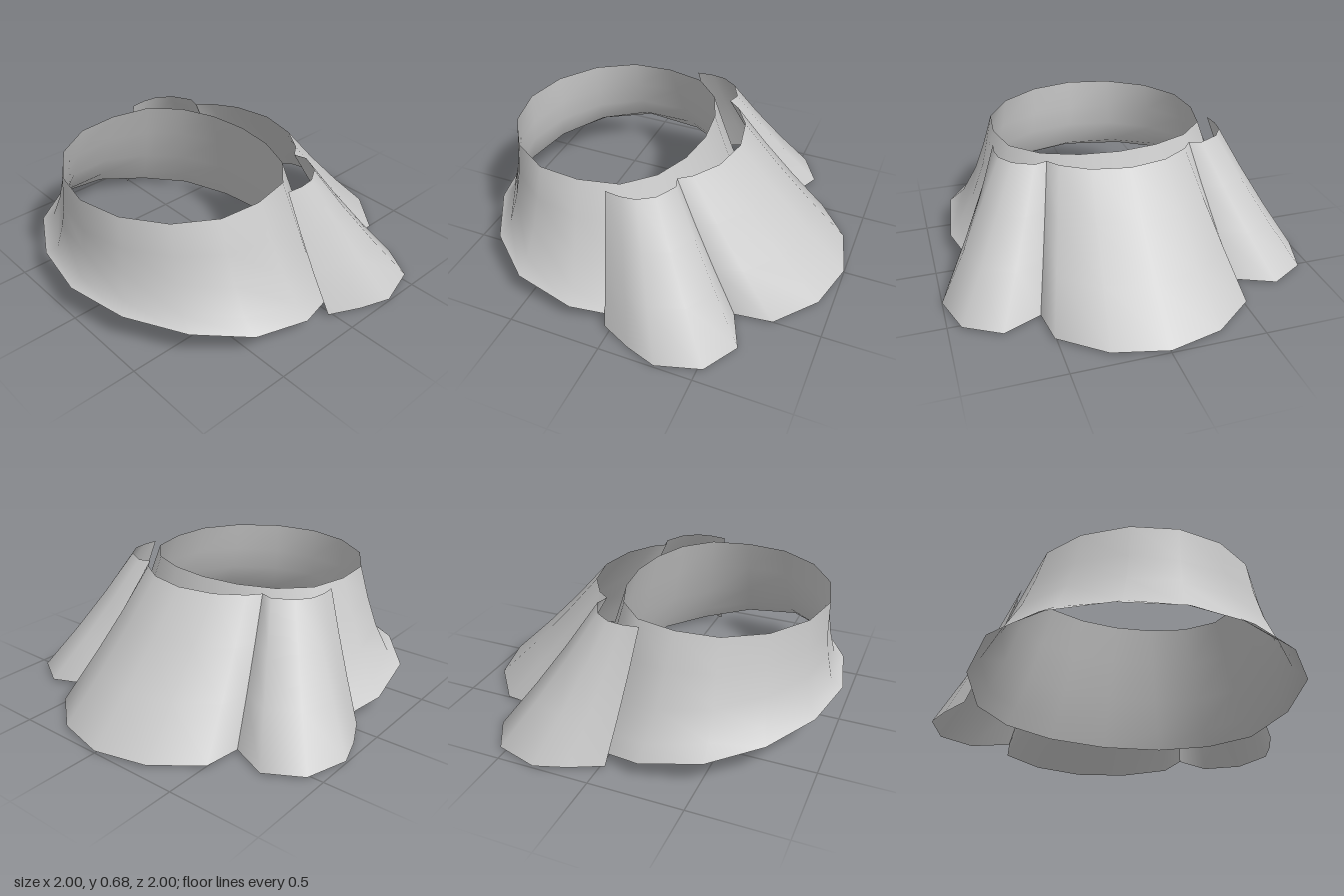
import * as THREE from 'three';

const material = new THREE.MeshStandardMaterial({ color: 0xcccccc, side: THREE.DoubleSide });

// Skin between stacked rows of [x, y, z] points, each running counter-clockwise seen from above
function loft(name, rows, closed) {
  const n = rows[0].length;
  const index = [];
  for (let r = 0; r < rows.length - 1; r++) {
    for (let i = 0; i < (closed ? n : n - 1); i++) {
      const j = (i + 1) % n;
      const a = r * n + i, b = r * n + j, c = a + n, d = b + n;
      index.push(a, c, d, a, d, b);
    }
  }
  const geometry = new THREE.BufferGeometry();
  geometry.setAttribute('position', new THREE.Float32BufferAttribute(rows.flat(2), 3));
  geometry.setIndex(index);
  geometry.computeVertexNormals();
  const mesh = new THREE.Mesh(geometry, material);
  mesh.name = name;
  return mesh;
}

const TOP = 0.68;
const HEM = 0.012;
const lerp = THREE.MathUtils.lerp;

// Half outline (front to back) completed by mirroring in x
const fullRing = (half) => [...half, ...half.slice(1, -1).reverse().map(([x, ...rest]) => [-x, ...rest])];
const mirrored = (points) => points.map(([x, z]) => [-x, z]).reverse();

// Flared collar: level rim, slanted hem; the flare is sharp in front, straight at the back
function collar() {
  const rim = fullRing([[0, 0.89], [0.235, 0.84], [0.44, 0.70], [0.565, 0.50], [0.585, 0.28],
    [0.54, 0.07], [0.40, -0.07], [0.21, -0.145], [0, -0.17]]);
  const hem = fullRing([[0, 0.2, 1], [0.34, 0.195, 0.935], [0.64, 0.185, 0.77], [0.84, 0.155, 0.53],
    [0.885, 0.097, 0.215], [0.79, 0.035, -0.06], [0.60, 0.017, -0.25], [0.33, 0.004, -0.36], [0, 0, -0.4]]);
  // Pairs of [drop, spread] down the wall
  const front = [[0, 0], [0.37, 0.02], [0.62, 0.14], [0.92, 0.42], [1, 1]];
  const side = [[0, 0], [0.31, 0.25], [0.62, 0.5], [0.87, 0.8], [1, 1]];
  const back = [[0, 0], [0.3, 0.27], [0.6, 0.55], [0.85, 0.82], [1, 1]];
  const rows = front.map((_, r) => rim.map(([x, z], i) => {
    const [hx, hy, hz] = hem[i];
    const s = Math.min(i, 16 - i) / 4;
    const [from, to, k] = s < 1 ? [front, side, s] : [side, back, s - 1];
    const drop = lerp(from[r][0], to[r][0], k);
    const spread = lerp(from[r][1], to[r][1], k);
    return [lerp(x, hx, spread), lerp(TOP, hy, drop), lerp(z, hz, spread)];
  }));
  return loft('collar', rows, true);
}

// Curved flap sloping outwards from a level top edge to a level hem, slightly hollow
function flap(name, top, bottom) {
  const rows = [0, 0.33, 0.66, 1].map((t) => {
    const spread = t - 0.12 * t * (1 - t);
    return top.map(([x, z], i) => [
      lerp(x, bottom[i][0], spread), lerp(TOP, HEM, t), lerp(z, bottom[i][1], spread)]);
  });
  return loft(name, rows, false);
}

export function createModel() {
  const group = new THREE.Group();
  group.name = 'flaredCollar';
  group.add(collar());

  // Wide flap at the back
  group.add(flap('backFlap',
    [[0.39, -0.17], [0.34, -0.235], [0.2, -0.325], [0, -0.365], [-0.2, -0.325], [-0.34, -0.235], [-0.39, -0.17]],
    [[0.535, -0.55], [0.51, -0.75], [0.285, -0.93], [0, -1], [-0.285, -0.93], [-0.51, -0.75], [-0.535, -0.55]]));

  // Narrow flap on each side
  const top = [[0.617, 0.112], [0.627, 0.027], [0.617, -0.053], [0.563, -0.134], [0.456, -0.19], [0.39, -0.17]];
  const bottom = [[0.865, 0.03], [0.945, -0.135], [1, -0.3], [0.93, -0.53], [0.74, -0.64], [0.535, -0.55]];
  group.add(flap('leftFlap', top, bottom));
  group.add(flap('rightFlap', mirrored(top), mirrored(bottom)));
  return group;
}
